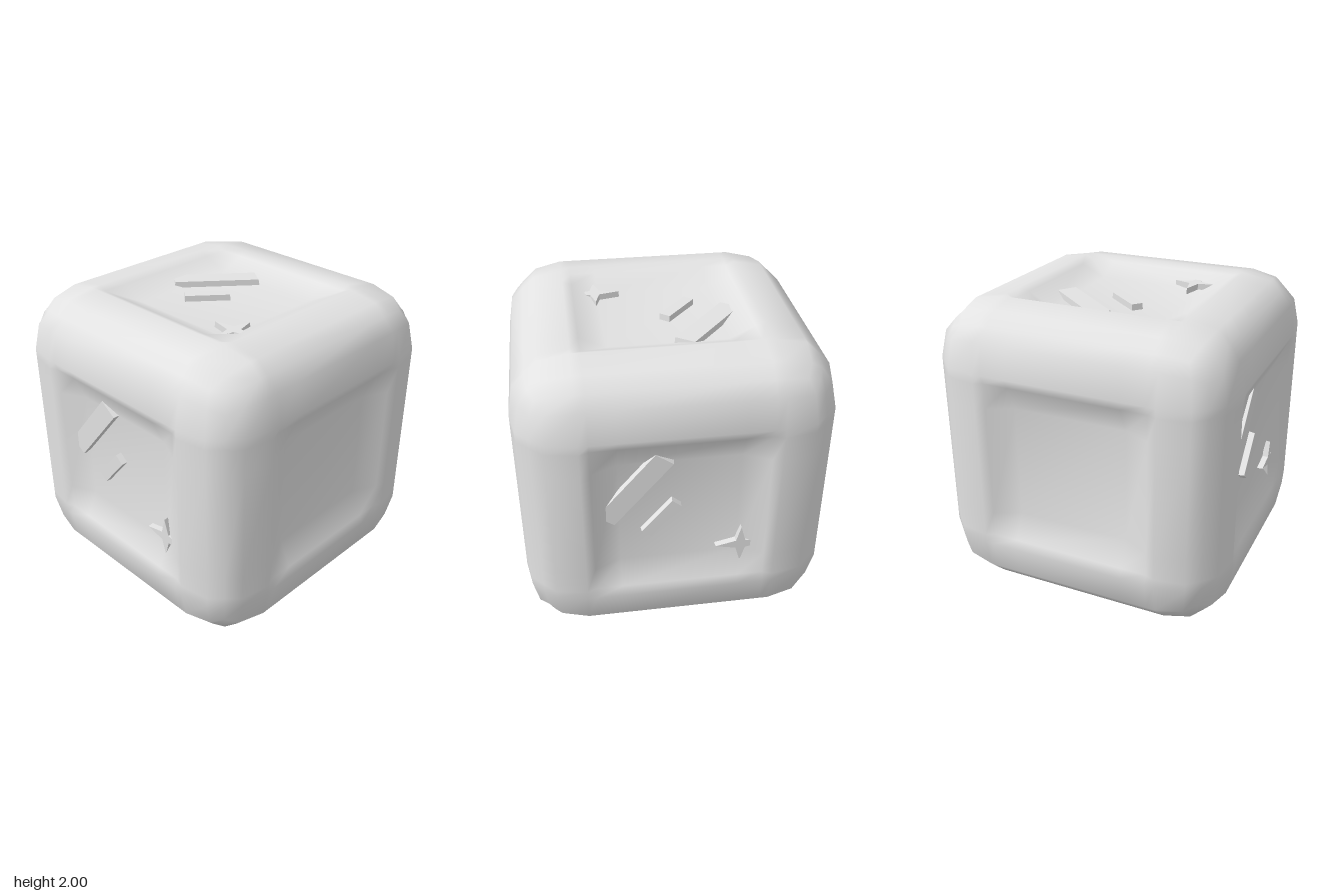
import * as THREE from 'three';
import { mergeVertices } from 'three/addons/utils/BufferGeometryUtils.js';

const CORE = 0.61;    // half-size of the flat part inside the rounded edges
const RADIUS = 0.39;  // edge rounding
const GRID = 9;       // grid cells along each cube edge
const STEPS = [0.38, 0.55, CORE, CORE, CORE];   // position of each grid line
const HEIGHTS = [0.895, 0.975, 1];              // face height at each panel line
const ROUND = [0, 0, 0, 0.56, 1];               // direction into the rounded edge

// Rounded cube with a shallow sunken panel in every side, made by remapping a box grid
function blockGeometry() {
  const box = new THREE.BoxGeometry(GRID, GRID, GRID, GRID, GRID, GRID);
  box.deleteAttribute('uv');
  box.deleteAttribute('normal');
  const pos = box.attributes.position;
  for (let i = 0; i < pos.count; i++) {
    const p = [pos.getX(i), pos.getY(i), pos.getZ(i)];
    const level = p.map((c) => Math.round(Math.abs(c) - 0.5));
    const ring = [...level].sort((a, b) => a - b)[1];   // how far out from the panel centre
    const out = new THREE.Vector3();
    if (ring <= 2) {
      // panel: tangential position from the steps, height from the ring
      out.fromArray(level.map((l) => (l === 4 ? HEIGHTS[ring] : STEPS[l])));
    } else {
      // rounded edges and corners
      const dir = new THREE.Vector3(...level.map((l) => ROUND[l]));
      dir.setLength(ring === 3 ? RADIUS + 0.017 : RADIUS + 0.003);
      out.fromArray(level.map((l) => STEPS[l])).add(dir);
    }
    pos.setXYZ(i, out.x * Math.sign(p[0]), out.y * Math.sign(p[1]), out.z * Math.sign(p[2]));
  }
  const geometry = mergeVertices(box);
  geometry.computeVertexNormals();
  return geometry;
}

// Raised, slightly tapered plate on a panel floor, facing +z
function plate(points, name, material) {
  const cx = points.reduce((sum, p) => sum + p[0], 0) / points.length;
  const cy = points.reduce((sum, p) => sum + p[1], 0) / points.length;
  const shape = new THREE.Shape(points.map(([x, y]) => new THREE.Vector2(x - cx, y - cy)));
  const geometry = new THREE.ExtrudeGeometry(shape, { depth: 0.065, bevelEnabled: false });
  const pos = geometry.attributes.position;
  for (let i = 0; i < pos.count; i++) {
    const s = pos.getZ(i) > 0.03 ? 0.96 : 1;
    pos.setXY(i, pos.getX(i) * s, pos.getY(i) * s);
  }
  geometry.computeVertexNormals();
  geometry.translate(cx, cy, 0.87);
  const mesh = new THREE.Mesh(geometry, material);
  mesh.name = name;
  return mesh;
}

// Four-pointed sparkle outline
function sparklePoints(cx, cy, rx, ry, inner) {
  return Array.from({ length: 8 }, (_, i) => {
    const a = (i * Math.PI) / 4;
    return [cx + (i % 2 ? inner : rx) * Math.cos(a), cy + (i % 2 ? inner : ry) * Math.sin(a)];
  });
}

// Two slanted glints and a sparkle
function glints(name, material) {
  const group = new THREE.Group();
  group.name = name;
  group.add(
    plate([[-0.15, 0.47], [-0.535, 0.015], [-0.42, -0.065], [-0.035, 0.39]], 'largeGlint', material),
    plate([[-0.05, 0.105], [-0.25, -0.13], [-0.19, -0.18], [0.01, 0.055]], 'smallGlint', material),
    plate(sparklePoints(0.4, -0.317, 0.17, 0.147, 0.045), 'sparkle', material)
  );
  return group;
}

export function createModel() {
  const grey = new THREE.MeshStandardMaterial({ color: 0xe2e2e2 });
  grey.name = 'light grey';

  const model = new THREE.Group();
  model.name = 'glassBlock';

  const block = new THREE.Mesh(blockGeometry(), grey);
  block.name = 'block';
  model.add(block);

  // Glints on the front, back and top panels
  const front = glints('frontGlints', grey);
  const back = glints('backGlints', grey);
  back.rotation.y = Math.PI;
  const top = glints('topGlints', grey);
  top.rotation.x = -Math.PI / 2;
  model.add(front, back, top);

  // Stand on the ground
  model.children.forEach((part) => { part.position.y = 1; });
  return model;
}
